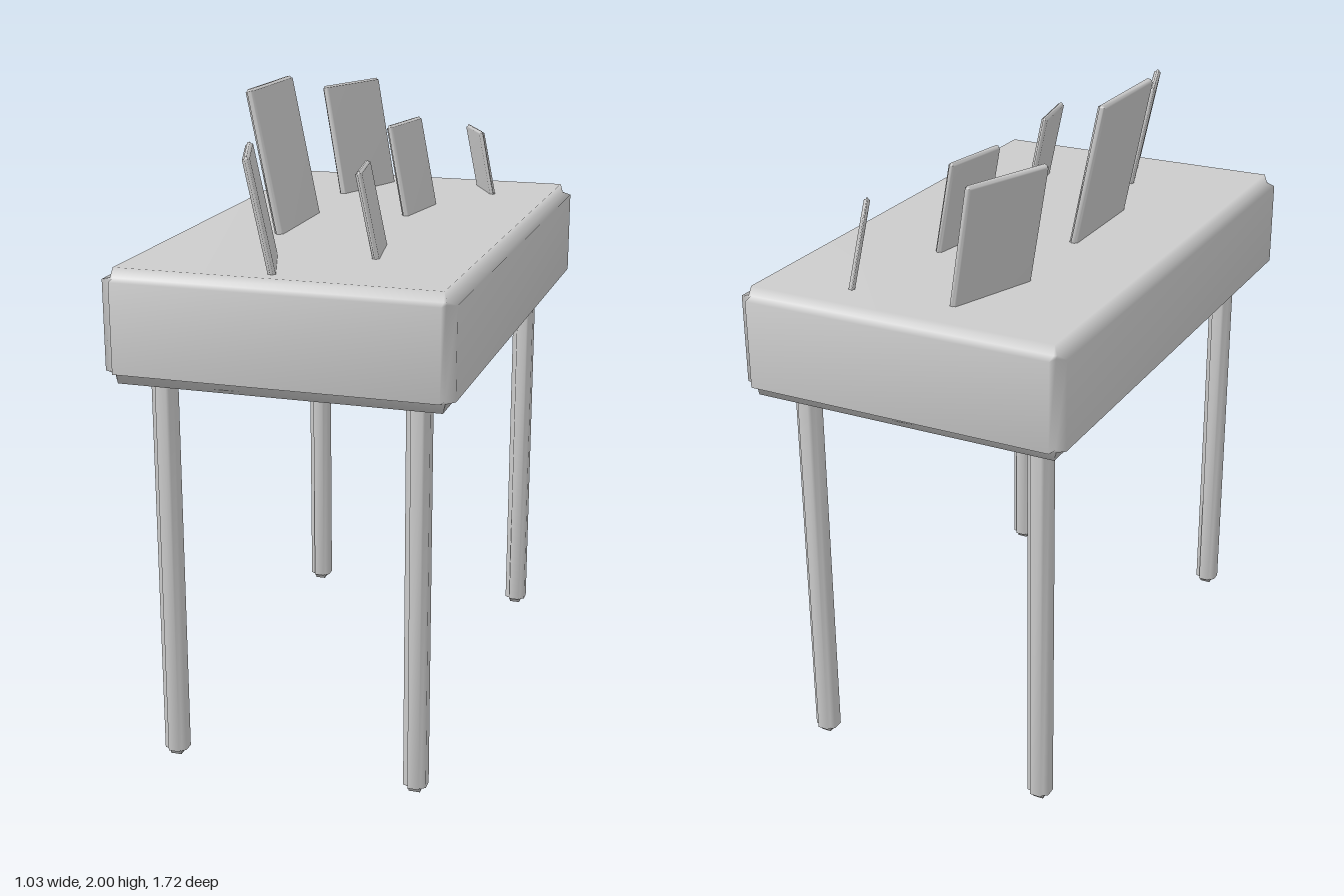
import * as THREE from 'three';
import { mergeVertices } from 'three/addons/utils/BufferGeometryUtils.js';

const material = new THREE.MeshStandardMaterial({ color: 0xcccccc });

// Box whose edges are cut by a shallow inward groove of width b
function groovedBox(w, h, d, b) {
  const box = new THREE.BoxGeometry(1, 1, 1, 3, 3, 3);
  box.deleteAttribute('normal');
  box.deleteAttribute('uv');
  const geo = mergeVertices(box, 1e-4);
  const pos = geo.attributes.position;
  const half = [w / 2, h / 2, d / 2];
  for (let i = 0; i < pos.count; i++) {
    const p = [pos.getX(i), pos.getY(i), pos.getZ(i)];
    const outer = p.map((v) => Math.abs(v) > 0.4);
    const onEdge = outer.filter(Boolean).length > 1;
    const q = p.map((v, k) => {
      const inset = outer[k] ? (onEdge ? b * 0.8 : 0) : b;
      return Math.sign(v) * (half[k] - inset);
    });
    pos.setXYZ(i, ...q);
  }
  geo.computeVertexNormals();
  return geo;
}

function part(name, geo, x, y, z) {
  const mesh = new THREE.Mesh(geo, material);
  mesh.name = name;
  mesh.position.set(x, y, z);
  return mesh;
}

export function createModel() {
  const model = new THREE.Group();
  model.name = 'table';

  // Thick table body
  const bottom = 1.225, top = 1.565;
  model.add(part('tableBody', groovedBox(1.03, top - bottom, 1.72, 0.036), 0, (bottom + top) / 2, 0));

  // Four slender legs
  const legHeight = 1.25;
  const legGeo = groovedBox(0.07, legHeight, 0.07, 0.018);
  for (const [sx, side] of [[1, 'left'], [-1, 'right']]) {
    for (const [sz, end] of [[1, 'Front'], [-1, 'Back']]) {
      model.add(part(`${side}${end}Leg`, legGeo, sx * 0.384, legHeight / 2, sz * 0.71));
    }
  }

  // Leaning plates: centre x, centre z, width, top height, thickness, turn
  const lean = 0.2, sink = 0.03;
  const plates = [
    [-0.19, -0.58, 0.30, 1.925, 0.024, -0.343],
    [0.23, -0.635, 0.187, 1.78, 0.018, 0.497],
    [0.095, -0.235, 0.236, 1.85, 0.022, -0.155],
    [-0.23, 0.09, 0.365, 2.0, 0.026, 0],
    [0.153, 0.415, 0.213, 1.815, 0.02, 0.172],
    [-0.096, 0.665, 0.27, 1.89, 0.022, 0.327],
  ];
  plates.forEach(([x, z, width, plateTop, thick, turn], i) => {
    const tall = (plateTop - top) / Math.cos(lean);
    const geo = groovedBox(thick, tall + sink, width, 0.007);
    geo.translate(0, -sink / 2, 0);
    const plate = part(`plate${i + 1}`, geo, x, (top + plateTop) / 2, z);
    plate.rotation.set(0, turn, lean);
    model.add(plate);
  });

  return model;
}
